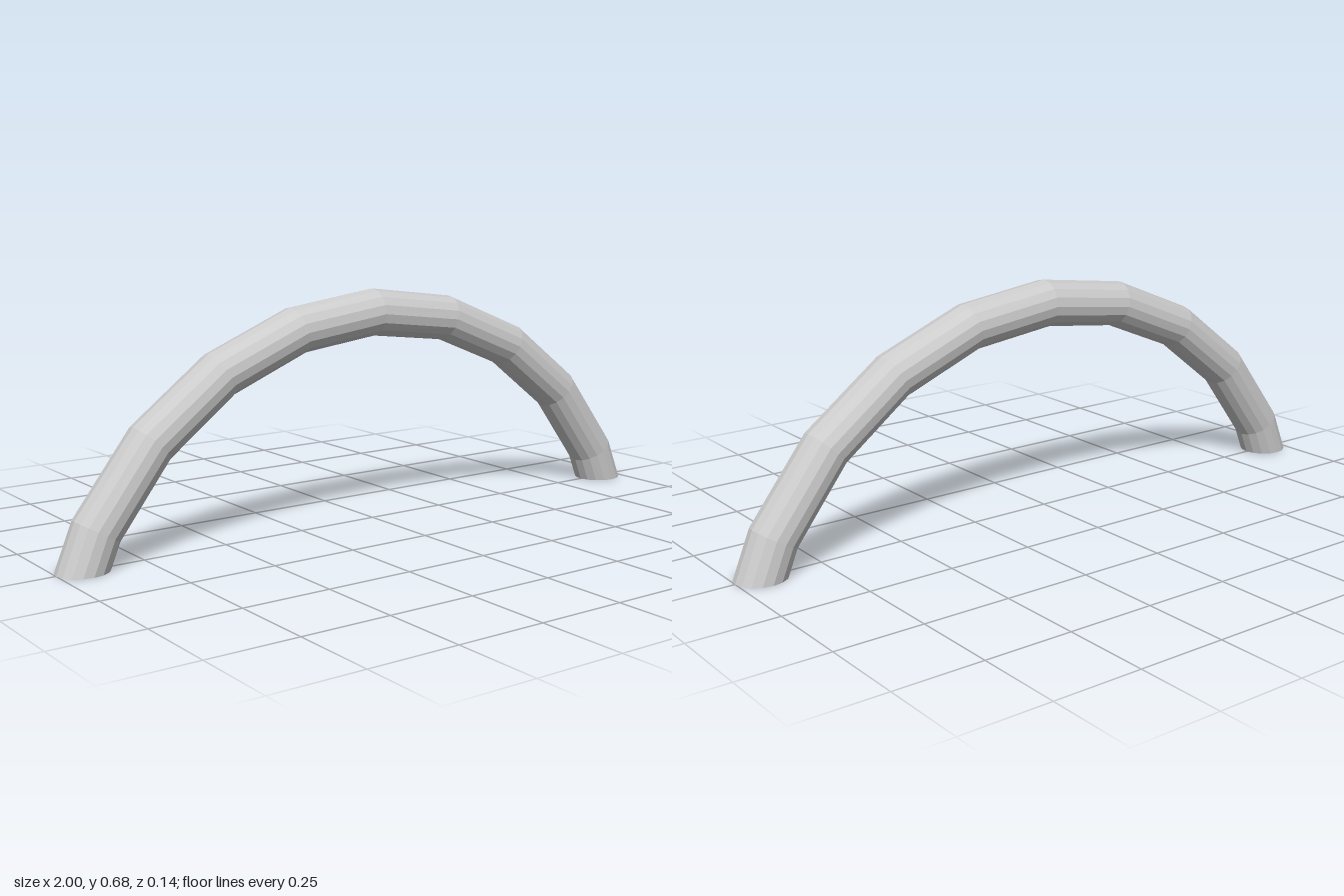
import * as THREE from 'three';

// Half of the arch, foot to crown: outer x, outer y, inner x, inner y
const HALF = [
  [1, 0, 0.853, 0],
  [0.945, 0.135, 0.826, 0.066],
  [0.772, 0.36, 0.675, 0.265],
  [0.545, 0.532, 0.477, 0.417],
  [0.282, 0.64, 0.246, 0.511],
  [0, 0.677, 0, 0.541],
];
const SIDES = 16;
const RADIUS = 0.069;

// Closed tube skinned over mirrored elliptical rings, with flat feet
function archGeometry() {
  const mirrored = HALF.slice(0, -1).reverse().map(([ox, oy, ix, iy]) => [-ox, oy, -ix, iy]);
  const rings = [...HALF, ...mirrored];
  const positions = [];
  const indices = [];
  for (const [ox, oy, ix, iy] of rings) {
    for (let j = 0; j < SIDES; j++) {
      const a = (j / SIDES) * Math.PI * 2;
      const t = (1 + Math.cos(a)) / 2;
      positions.push(ix + (ox - ix) * t, iy + (oy - iy) * t, RADIUS * Math.sin(a));
    }
  }
  const last = (rings.length - 1) * SIDES;
  const startCentre = rings.length * SIDES;
  for (const [ox, oy, ix, iy] of [rings[0], rings[rings.length - 1]]) {
    positions.push((ox + ix) / 2, (oy + iy) / 2, 0);
  }
  for (let j = 0; j < SIDES; j++) {
    const k = (j + 1) % SIDES;
    for (let i = 0; i < last; i += SIDES) {
      const n = i + SIDES;
      indices.push(i + j, n + j, n + k, i + j, n + k, i + k);
    }
    indices.push(startCentre, j, k, startCentre + 1, last + k, last + j);
  }
  const geometry = new THREE.BufferGeometry();
  geometry.setAttribute('position', new THREE.Float32BufferAttribute(positions, 3));
  geometry.setIndex(indices);
  const flat = geometry.toNonIndexed();
  flat.computeVertexNormals();
  return flat;
}

export function createModel() {
  const group = new THREE.Group();
  group.name = 'archedTube';
  const material = new THREE.MeshStandardMaterial({ color: 0xcccccc, flatShading: true });
  const arch = new THREE.Mesh(archGeometry(), material);
  arch.name = 'arch';
  group.add(arch);
  return group;
}
